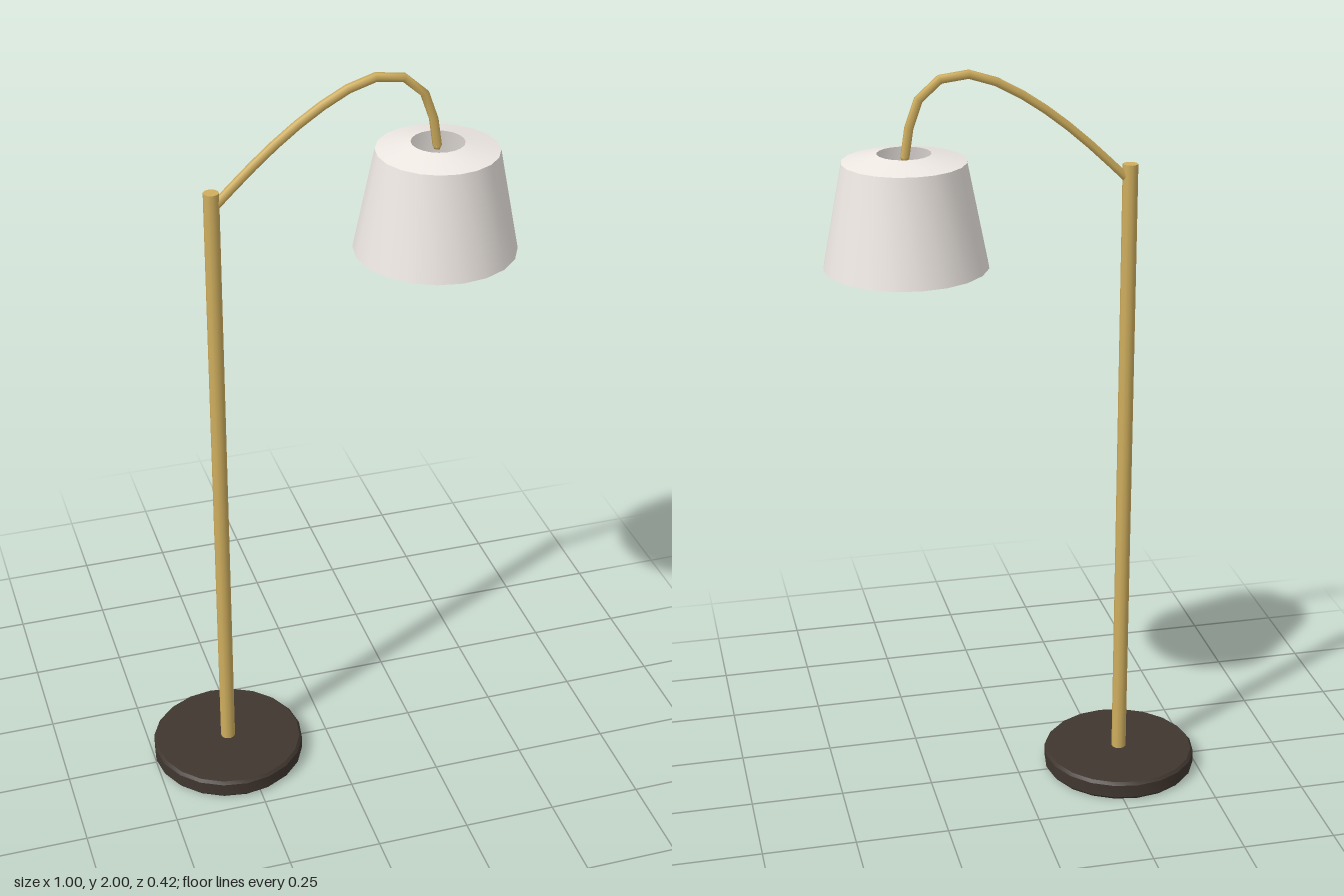
import * as THREE from 'three';
import { toCreasedNormals } from 'three/addons/utils/BufferGeometryUtils.js';

const SIDES = 20;
const POLE_X = -0.29;
const SHADE_X = 0.29;

const material = (color, side = THREE.FrontSide) => new THREE.MeshStandardMaterial({ color, side });

// Lathe from [radius, height] pairs, with hard edges kept sharp
function turned(profile, sides = SIDES) {
  const points = profile.map(([r, y]) => new THREE.Vector2(r, y));
  return toCreasedNormals(new THREE.LatheGeometry(points, sides), 0.45);
}

export function createModel() {
  const lamp = new THREE.Group();
  lamp.name = 'floorLamp';
  const brass = material(0xcfae5e);

  function add(name, geometry, mat, x = 0, y = 0) {
    const mesh = new THREE.Mesh(geometry, mat);
    mesh.name = name;
    mesh.position.set(x, y, 0);
    lamp.add(mesh);
  }

  // Heavy round foot with softened rims
  add('base', turned([
    [0, 0], [0.203, 0], [0.21, 0.008], [0.21, 0.044], [0.203, 0.052], [0, 0.052],
  ]), material(0x40362f), POLE_X);

  // Upright pole
  add('pole', new THREE.CylinderGeometry(0.02, 0.02, 1.7, 10), brass, POLE_X, 0.89);

  // Curved arm reaching over to the shade
  const path = new THREE.CatmullRomCurve3([
    [-0.29, 1.695], [-0.18, 1.8], [-0.08, 1.883], [0.02, 1.948], [0.105, 1.985],
    [0.175, 1.987], [0.235, 1.955], [0.27, 1.888], [0.288, 1.79],
  ].map(([x, y]) => new THREE.Vector3(x, y, 0)));
  add('arm', new THREE.TubeGeometry(path, 11, 0.012, 6), brass);

  // Closed end of the arm
  add('armTip', new THREE.SphereGeometry(0.0118, 6, 4), brass, 0.288, 1.79);

  // Tapered shade with an opening in its top and its floor
  add('shade', turned([
    [0.042, 1.51], [0.21, 1.51], [0.157, 1.78], [0.068, 1.8],
  ]), material(0xeee8e3, THREE.DoubleSide), SHADE_X);

  // Bulb inside the shade
  add('bulb', new THREE.SphereGeometry(0.063, 20, 14), material(0xffe2b5), SHADE_X, 1.61);

  return lamp;
}
